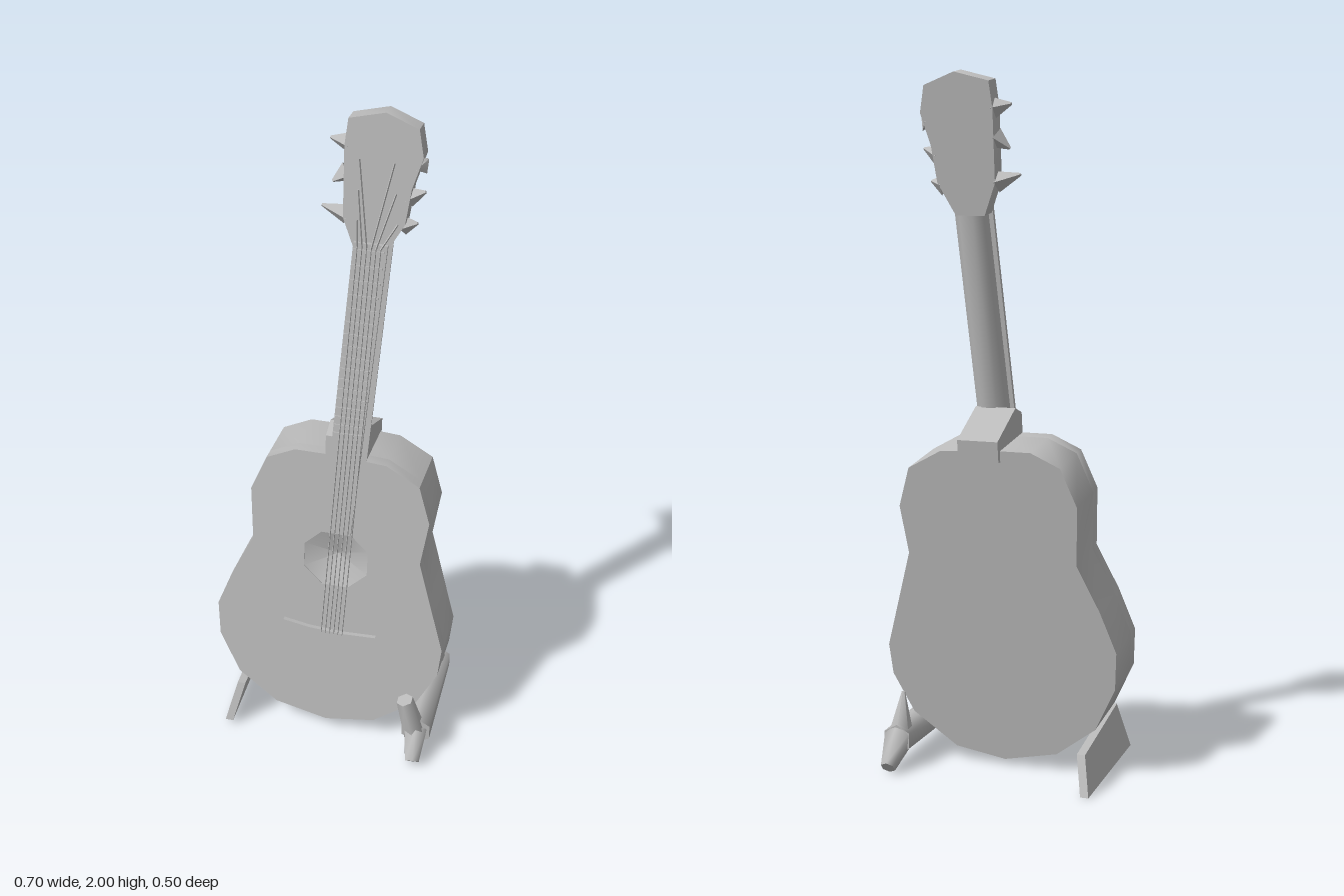
import * as THREE from 'three';
import { toCreasedNormals } from 'three/addons/utils/BufferGeometryUtils.js';

const grey = new THREE.MeshStandardMaterial({ color: 0xbcbcbc, side: THREE.DoubleSide });
grey.name = 'plain grey';

function add(parent, name, geometry) {
  const mesh = new THREE.Mesh(geometry, grey);
  mesh.name = name;
  parent.add(mesh);
  return mesh;
}

// Outline in x and y, extruded backwards from z = front
function slab(outline, front, depth, hole) {
  const shape = new THREE.Shape(outline.map(([x, y]) => new THREE.Vector2(x, y)));
  if (hole) shape.holes.push(new THREE.Path(hole.map(([x, y]) => new THREE.Vector2(x, y))));
  const g = new THREE.ExtrudeGeometry(shape, { depth, bevelEnabled: false });
  g.translate(0, 0, front - depth);
  return toCreasedNormals(g, 0.75);
}

// Tapered rod between two points
function rod(a, b, r0, r1, sides = 6) {
  const p = new THREE.Vector3(...a), q = new THREE.Vector3(...b);
  const dir = q.clone().sub(p);
  const g = new THREE.CylinderGeometry(r1, r0, dir.length(), sides);
  g.applyQuaternion(new THREE.Quaternion().setFromUnitVectors(new THREE.Vector3(0, 1, 0), dir.normalize()));
  g.translate(...p.add(q).multiplyScalar(0.5).toArray());
  return toCreasedNormals(g, 1.1);
}

// Centre line of the neck, leaning slightly sideways
const neckX = y => 0.015 + 0.067 * (y - 0.75);

export function createModel() {
  const model = new THREE.Group();
  model.name = 'guitarOnStand';
  const guitar = new THREE.Group();
  guitar.name = 'guitar';
  guitar.position.z = 0.15;
  guitar.rotation.x = -0.132;
  guitar.scale.y = 1.009;
  model.add(guitar);

  // Body: front layer with the sound hole, back layer closed
  const outline = [
    [0, 0.045], [0.15, 0.07], [0.28, 0.165], [0.34, 0.28], [0.348, 0.37], [0.305, 0.52],
    [0.265, 0.66], [0.285, 0.8], [0.25, 0.915], [0.15, 0.97], [0, 0.98], [-0.12, 0.98],
    [-0.205, 0.94], [-0.25, 0.83], [-0.242, 0.66], [-0.305, 0.53], [-0.35, 0.41],
    [-0.343, 0.3], [-0.28, 0.17], [-0.16, 0.08],
  ];
  const holeRing = [];
  for (let i = 0; i < 8; i++) {
    const a = (i + 0.5) * Math.PI / 4;
    holeRing.push([0.012 + 0.104 * Math.cos(a), 0.632 + 0.1 * Math.sin(a)]);
  }
  add(guitar, 'bodyFront', slab(outline, 0, 0.04, holeRing));
  add(guitar, 'bodyBack', slab(outline, -0.04, 0.15));

  // Shallow dish inside the sound hole
  const dish = add(guitar, 'soundHole', new THREE.LatheGeometry(
    [new THREE.Vector2(0, -0.035), new THREE.Vector2(0.104, 0)], 8, Math.PI / 8));
  dish.rotation.x = Math.PI / 2;
  dish.position.set(0.012, 0.632, -0.002);

  // Bridge
  add(guitar, 'bridge', slab([
    [-0.145, 0.36], [-0.06, 0.345], [0.02, 0.33], [0.1, 0.338], [0.145, 0.385],
    [0.04, 0.38], [-0.06, 0.385], [-0.14, 0.398],
  ], 0.014, 0.014));

  // Neck: rounded cross-sections lofted up the centre line
  const section = [[-0.047, 0], [-0.043, -0.03], [-0.02, -0.055], [0.02, -0.055], [0.043, -0.03], [0.047, 0]];
  const n = section.length, pos = [], idx = [];
  for (const y of [0.93, 1.64])
    for (const [x, z] of section) pos.push(neckX(y) + 0.015 + x, y, z);
  for (let i = 0; i < n; i++) {
    const j = (i + 1) % n;
    idx.push(i, i + n, j, j, i + n, j + n);
  }
  const neck = new THREE.BufferGeometry();
  neck.setAttribute('position', new THREE.Float32BufferAttribute(pos, 3));
  neck.setIndex(idx);
  add(guitar, 'neck', toCreasedNormals(neck, 1));

  // Fingerboard
  add(guitar, 'fingerboard', slab([
    [neckX(0.72) - 0.043, 0.725], [neckX(0.72) + 0.043, 0.725],
    [neckX(1.64) + 0.05, 1.64], [neckX(1.64) - 0.045, 1.64],
  ], 0.01, 0.012));

  // Heel: side profile turned to run across the neck
  const heel = slab([[0, 0.93], [0, 1.04], [0.05, 1.065], [0.205, 1.01], [0.205, 0.95]], 0.06, 0.12);
  heel.rotateY(Math.PI / 2);
  add(guitar, 'heel', heel).position.x = 0.03;

  // Headstock
  add(guitar, 'headstock', slab([
    [0.03, 1.61], [0.115, 1.61], [0.165, 1.7], [0.178, 1.8], [0.205, 1.89], [0.19, 1.965],
    [0.1, 2.0], [0, 1.975], [-0.008, 1.9], [-0.005, 1.7],
  ], -0.006, 0.056));

  // Tuning pegs
  const pegs = [
    [0, 1.9, -0.052, 1.91], [0, 1.82, -0.042, 1.79], [0, 1.7, -0.07, 1.72],
    [0.19, 1.86, 0.212, 1.88], [0.165, 1.77, 0.212, 1.79], [0.155, 1.69, 0.195, 1.7],
  ];
  for (const [x0, y0, x1, y1] of pegs)
    add(guitar, 'tuningPeg', rod([x0, y0, -0.035], [x1, y1, -0.03], 0.03, 0.004, 4));

  // Frets, spaced closer towards the sound hole
  for (let i = 0; i < 17; i++) {
    const y = 0.4 + 1.22 * Math.pow(2, -i / 18);
    add(guitar, 'fret', new THREE.BoxGeometry(0.085, 0.006, 0.006)).position.set(neckX(y), y, 0.011);
  }

  // Strings: bridge to nut, then fanning out to the pegs
  for (let i = 0; i < 6; i++) {
    const s = (i - 2.5) * 0.013;
    const nut = [neckX(1.63) + s, 1.63, 0.014];
    add(guitar, 'string', rod([neckX(0.39) + 0.02 + s, 0.375, 0.014], nut, 0.002, 0.002, 3));
    const row = i < 3 ? i : 5 - i;
    const end = [i < 3 ? 0.035 : 0.13 + 0.008 * (2 - row), 1.7 + 0.085 * row, 0];
    add(guitar, 'headString', rod(nut, end, 0.003, 0.003, 3));
  }

  // Stand, left side: a beam with a foot and an upright prong at each end
  const stand = new THREE.Group();
  stand.name = 'stand';
  model.add(stand);
  add(stand, 'standBeam', rod([0.29, 0.085, -0.17], [0.29, 0.09, 0.17], 0.045, 0.05));
  add(stand, 'frontFoot', rod([0.288, 0.09, 0.16], [0.295, 0.022, 0.235], 0.04, 0.024));
  add(stand, 'frontProng', rod([0.285, 0.09, 0.165], [0.255, 0.215, 0.175], 0.035, 0.026));
  add(stand, 'backFoot', rod([0.29, 0.09, -0.15], [0.29, 0.022, -0.235], 0.045, 0.022));
  add(stand, 'backProng', rod([0.29, 0.08, -0.14], [0.285, 0.22, -0.13], 0.04, 0.005));

  // Stand, right side: a leaning plank, higher at the front
  const plank = slab([[-0.2, 0.02], [0.23, 0.005], [0.18, 0.11], [-0.165, 0.155]], 0.012, 0.024);
  plank.rotateY(Math.PI / 2);
  const p = plank.attributes.position;
  for (let i = 0; i < p.count; i++) p.setX(i, p.getX(i) - 0.303 + 0.25 * p.getY(i));
  plank.computeVertexNormals();
  add(stand, 'standPlank', plank);

  return model;
}
